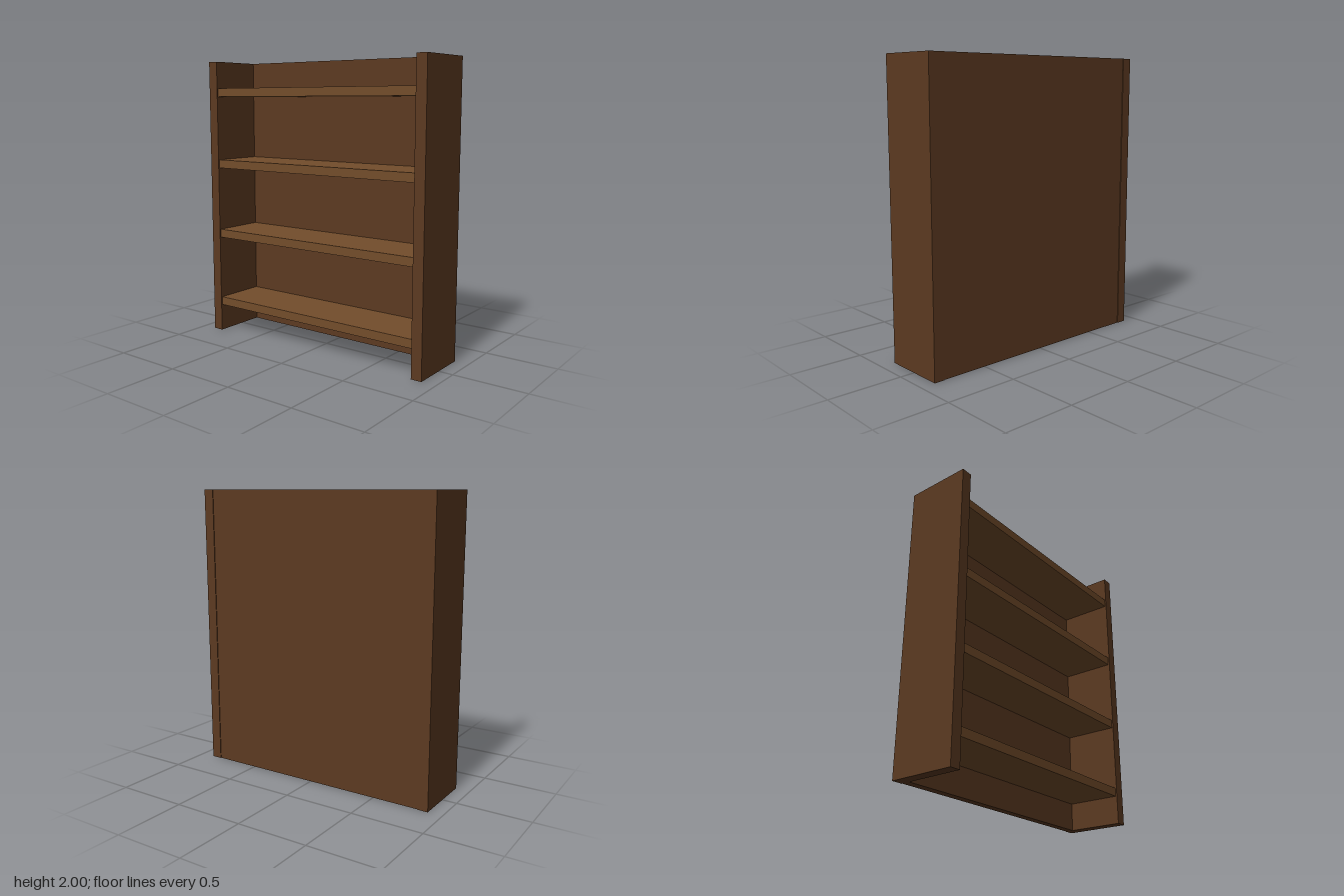
import * as THREE from 'three';

export function createModel() {
  const group = new THREE.Group();
  const frameWood = new THREE.MeshStandardMaterial({ color: 0x5c3a21 });
  const shelfWood = new THREE.MeshStandardMaterial({ color: 0x734d2b });

  // Adds a board given its size and centre
  const board = (name, material, size, centre) => {
    const mesh = new THREE.Mesh(new THREE.BoxGeometry(...size), material);
    mesh.name = name;
    mesh.position.set(...centre);
    group.add(mesh);
  };

  // Upright side panels
  board('leftSide', frameWood, [0.075, 2, 0.45], [0.8625, 1, 0]);
  board('rightSide', frameWood, [0.075, 2, 0.45], [-0.8625, 1, 0]);

  // Back panel, set in slightly between the sides
  board('backPanel', frameWood, [1.65, 2, 0.056], [0, 1, -0.192]);

  // Four evenly spaced shelves
  for (let i = 0; i < 4; i++) {
    board(`shelf${i + 1}`, shelfWood, [1.65, 0.06, 0.379], [0, 0.225 + i * 0.5185, 0.0255]);
  }

  return group;
}
